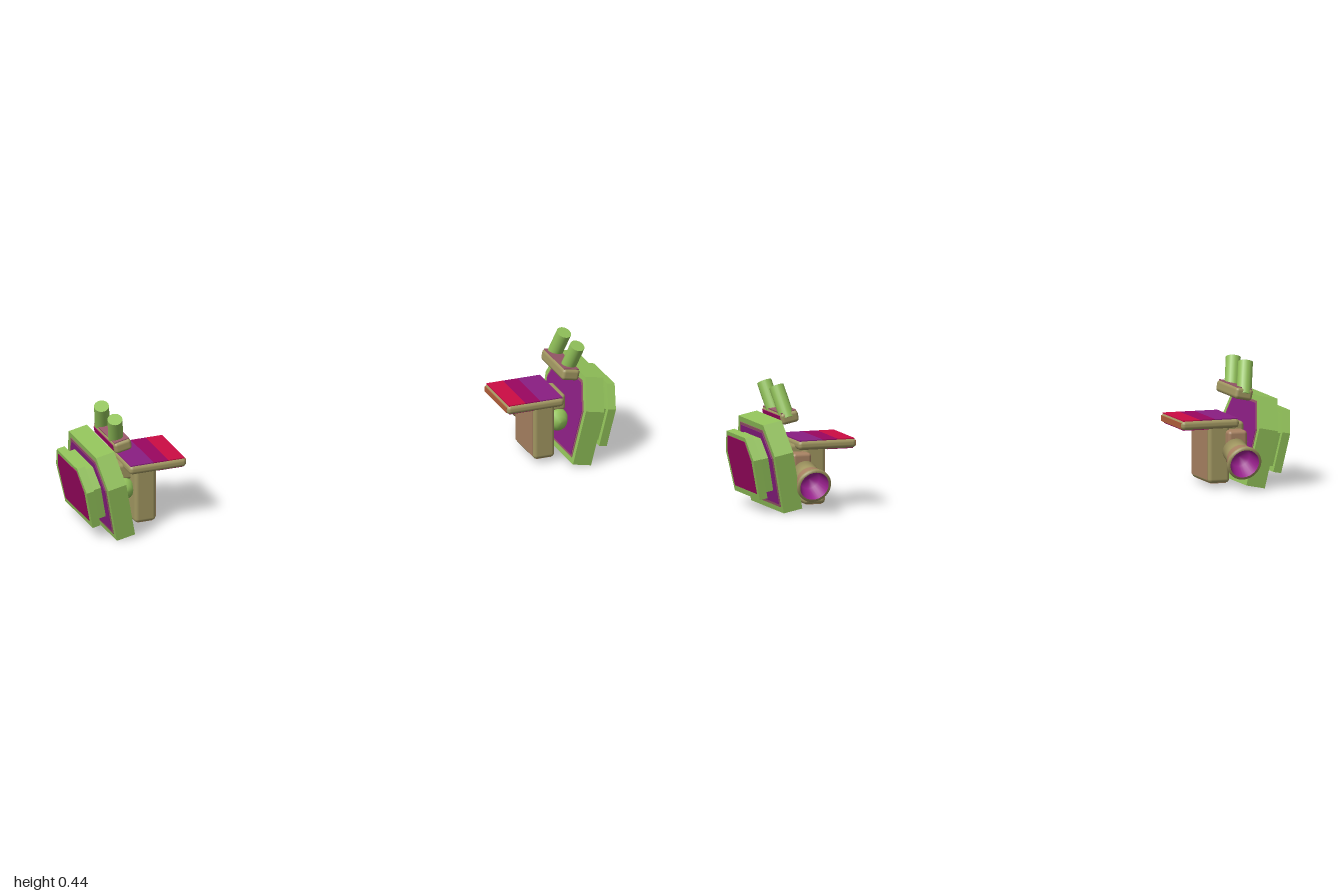
import * as THREE from 'three';
import { RoundedBoxGeometry } from 'three/addons/geometries/RoundedBoxGeometry.js';

const mat = (name, color, side = THREE.FrontSide) => {
  const m = new THREE.MeshStandardMaterial({ color, side });
  m.name = name;
  return m;
};

// Mirror a geometry in x and restore its winding
function mirrored(src) {
  const g = src.index ? src.toNonIndexed() : src.clone();
  g.scale(-1, 1, 1);
  for (const a of Object.values(g.attributes)) {
    const n = a.itemSize;
    for (let i = 0; i < a.array.length; i += 3 * n) {
      for (let k = 0; k < n; k++) {
        const t = a.array[i + n + k];
        a.array[i + n + k] = a.array[i + 2 * n + k];
        a.array[i + 2 * n + k] = t;
      }
    }
  }
  return g;
}

export function createModel() {
  const green = mat('green', 0x92c25a);
  const olive = mat('olive', 0xa09660);
  const brown = mat('brown', 0xa88262);
  const mauve = mat('mauve', 0x98586a);
  const purple = mat('purple', 0x8a1e82);
  const magenta = mat('magenta', 0x9a0660);
  const red = mat('red', 0xcc0c44);
  const rust = mat('rust', 0xb4603c);
  const violet = mat('violet', 0x9c2090, THREE.DoubleSide);

  const root = new THREE.Group();
  const pods = [1, -1].map((s) => {
    const g = new THREE.Group();
    g.name = s > 0 ? 'leftPod' : 'rightPod';
    root.add(g);
    return g;
  });
  const add = (name, geo, material) => {
    [geo, mirrored(geo)].forEach((g, i) => {
      const m = new THREE.Mesh(g, material);
      m.name = name;
      pods[i].add(m);
    });
  };

  // Leaning frame of the hull: top tips outward
  const lean = (g) => g.rotateZ(-0.2).translate(0.883, 0, 0);

  // Six-sided outlines as [z, y], measured on the leaning face
  const hullLine = [[0.195, 0], [-0.14, 0], [-0.16, 0.205], [-0.1, 0.311], [0.155, 0.311], [0.215, 0.205]];
  const panelLine = [[0.155, 0.058], [-0.1, 0.058], [-0.115, 0.2], [-0.07, 0.277], [0.12, 0.277], [0.17, 0.2]];
  const faceLine = [[0.137, 0.079], [-0.083, 0.079], [-0.09, 0.2], [-0.06, 0.262], [0.11, 0.262], [0.145, 0.2]];
  const inset = (line, d) => {
    const zs = line.map((p) => p[0]), ys = line.map((p) => p[1]);
    const z0 = (Math.max(...zs) + Math.min(...zs)) / 2, hz = (Math.max(...zs) - Math.min(...zs)) / 2;
    const y0 = (Math.max(...ys) + Math.min(...ys)) / 2, hy = (Math.max(...ys) - Math.min(...ys)) / 2;
    return line.map(([z, y]) => [z0 + (z - z0) * (1 - d / hz), y0 + (y - y0) * (1 - d / hy)]);
  };
  const slab = (line, x0, x1) => {
    const shape = new THREE.Shape(line.map(([z, y]) => new THREE.Vector2(-z, y)));
    const g = new THREE.ExtrudeGeometry(shape, { depth: x1 - x0, bevelEnabled: false });
    return lean(g.rotateY(Math.PI / 2).translate(x0, 0, 0));
  };

  // Hull with layered faces
  add('hull', slab(hullLine, -0.069, 0), green);
  add('hullOuterTrim', slab(inset(hullLine, 0.02), 0, 0.002), mauve);
  add('hullOuterFace', slab(inset(hullLine, 0.03), 0.001, 0.004), purple);
  add('hullInnerTrim', slab(inset(hullLine, 0.02), -0.071, -0.069), mauve);
  add('hullInnerFace', slab(inset(hullLine, 0.028), -0.073, -0.07), purple);

  // Raised outer panel
  add('panelSpacer', slab(inset(panelLine, 0.018), 0.003, 0.036), green);
  add('panelFrame', slab(panelLine, 0.035, 0.064), green);
  add('panelFace', slab(faceLine, 0.064, 0.066), magenta);

  // Boxes given by two corners
  const box = (a, b, r = 0) => {
    const s = b.map((v, i) => v - a[i]);
    const g = r ? new RoundedBoxGeometry(...s, 2, r) : new THREE.BoxGeometry(...s);
    return g.translate(...b.map((v, i) => (v + a[i]) / 2));
  };

  // Saddle carrying the pipes, with coloured top and sides
  add('saddle', lean(box([-0.145, 0.285, -0.07], [-0.08, 0.326, 0.135], 0.012)), olive);
  add('saddleTop', lean(box([-0.14, 0.322, -0.062], [-0.085, 0.328, 0.127])), mauve);
  add('saddleSide', lean(box([-0.083, 0.298, -0.055], [-0.078, 0.318, 0.12])), magenta);
  const up = new THREE.Vector3(0, 1, 0);
  const along = (g, from, to) => {
    const a = new THREE.Vector3(...from), d = new THREE.Vector3(...to).sub(a);
    return g.applyQuaternion(new THREE.Quaternion().setFromUnitVectors(up, d.normalize())).translate(a.x, a.y, a.z);
  };
  for (const z of [0.082, -0.043]) {
    const g = new THREE.CylinderGeometry(0.026, 0.026, 0.12, 20).translate(0, 0.04, 0);
    add('pipe', along(g, [0.842, 0.335, z], [0.862, 0.428, z + 0.042]), green);
  }

  // Shelf with banded colours on top
  add('shelf', box([0.597, 0.208, -0.09], [0.81, 0.241, 0.135], 0.014), olive);
  add('shelfEdge', box([0.596, 0.214, -0.078], [0.599, 0.234, 0.123]), rust);
  [[0.604, 0.665, red], [0.665, 0.72, magenta], [0.72, 0.804, purple]].forEach(([x0, x1, m]) => {
    add('shelfBand', box([x0, 0.238, -0.083], [x1, 0.2425, 0.128]), m);
  });
  add('shelfUnderside', box([0.607, 0.2065, -0.078], [0.7, 0.21, 0.123]), magenta);

  // Block below the shelf, browner on the broad inner face and the base
  add('block', box([0.703, 0.015, -0.068], [0.782, 0.222, 0.115], 0.014), olive);
  add('blockFace', box([0.7015, 0.027, -0.056], [0.705, 0.207, 0.103]), brown);
  add('blockBase', box([0.715, 0.0135, -0.056], [0.77, 0.017, 0.103]), brown);

  // Round coupling between block and hull
  const lathe = (pts, sides) => new THREE.LatheGeometry(pts.map((p) => new THREE.Vector2(...p)), sides);
  const dome = [[0, -0.08], [0.04, -0.08], [0.04, 0.06], [0.037, 0.082], [0.022, 0.1], [0, 0.103]];
  add('coupling', lathe(dome, 20).rotateX(Math.PI / 2).translate(0.808, 0.135, 0), green);
  add('mount', box([0.765, 0.085, -0.1], [0.835, 0.2, -0.02], 0.012), brown);
  add('bracket', box([0.77, 0.165, -0.05], [0.84, 0.225, 0.07], 0.012), olive);

  // Flared nozzle, pointing back and slightly down
  const neck = [[0, 0], [0.044, 0], [0.044, 0.042], [0.047, 0.055]];
  const flare = [[0.047, 0.055], [0.058, 0.095], [0.061, 0.099]];
  const rim = [[0.061, 0.099], [0.061, 0.109], [0.052, 0.11]];
  const start = [0.79, 0.132, -0.09], end = [0.79, 0.1, -0.188];
  add('nozzleNeck', along(lathe(neck, 28), start, end), olive);
  add('nozzleFlare', along(lathe(flare, 28), start, end), brown);
  add('nozzleRim', along(lathe(rim, 28), start, end), olive);
  add('nozzleInside', along(lathe([[0.052, 0.11], [0.036, 0.055], [0, 0.05]], 28), start, end), violet);

  return root;
}
